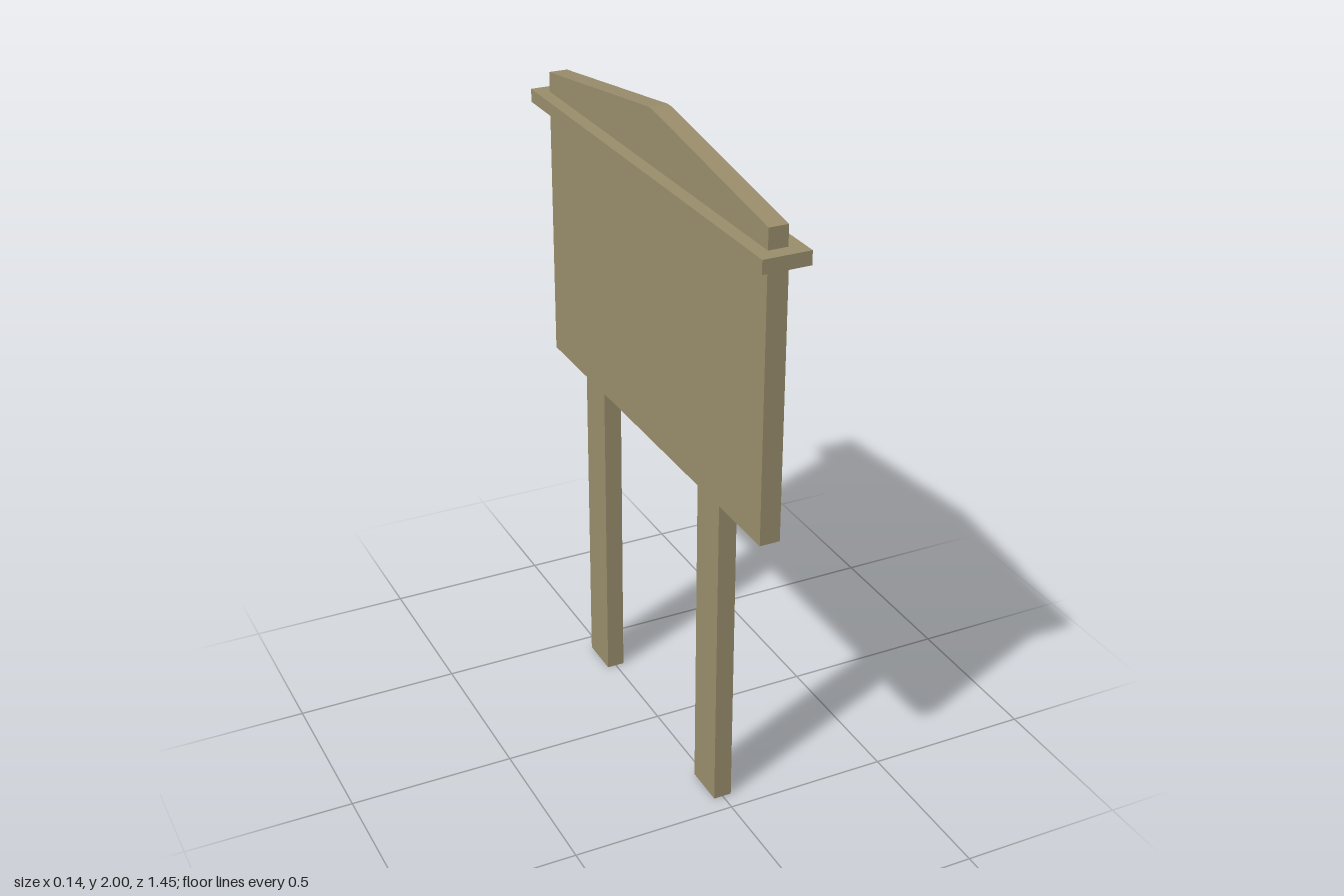
import * as THREE from 'three';

const mat = (color) => new THREE.MeshStandardMaterial({ color });
const wood = mat(0x998d6b);
const caseBlue = mat(0x8f99cc);
const doorBlue = mat(0x828fc8);
const pink = mat(0xcc71c8);
const grey = mat(0xcccccc);

export function createModel() {
  const model = new THREE.Group();
  model.name = 'noticeBoard';

  const add = (name, geometry, material) => {
    const mesh = new THREE.Mesh(geometry, material);
    mesh.name = name;
    model.add(mesh);
  };

  // Box given by its limits along x, y and z
  const box = (name, material, x0, x1, y0, y1, z0, z1) => {
    const g = new THREE.BoxGeometry(x1 - x0, y1 - y0, z1 - z0);
    g.translate((x0 + x1) / 2, (y0 + y1) / 2, (z0 + z1) / 2);
    add(name, g, material);
  };

  // Outline of [z, y] points extruded along x, with an optional hole
  const slab = (name, material, x0, x1, outline, hole) => {
    const points = (list) => list.map(([z, y]) => new THREE.Vector2(-z, y));
    const shape = new THREE.Shape(points(outline));
    if (hole) shape.holes.push(new THREE.Path(points(hole)));
    const g = new THREE.ExtrudeGeometry(shape, { depth: x1 - x0, bevelEnabled: false });
    g.rotateY(Math.PI / 2);
    g.translate(x0, 0, 0);
    add(name, g, material);
  };
  const rect = (z0, z1, y0, y1) => [[z0, y0], [z1, y0], [z1, y1], [z0, y1]];

  // Posts
  for (const side of [-1, 1]) {
    const z = side * 0.378;
    box(side > 0 ? 'leftPost' : 'rightPost', wood, -0.028, 0.027, 0, 1, z - 0.065, z + 0.065);
  }

  // Cabinet: back board, open frame on one half, deep framed door on the other
  box('backBoard', wood, -0.03, 0.009, 1, 1.8, -0.675, 0.68);
  slab('openFrame', wood, 0.009, 0.03, [
    [0.68, 1], [0.08, 1], [0.08, 1.045], [0.64, 1.045],
    [0.64, 1.758], [0.08, 1.758], [0.08, 1.8], [0.68, 1.8],
  ]);
  slab('doorFrame', wood, 0.009, 0.07, rect(0.08, -0.675, 1, 1.8), rect(0.015, -0.61, 1.07, 1.728));

  // Pin boards
  box('openPinBoard', caseBlue, 0.005, 0.011, 1.045, 1.758, 0.08, 0.64);
  box('doorPinBoard', doorBlue, 0.005, 0.03, 1.07, 1.728, -0.61, 0.015);

  // Pinned notices
  box('pinkNotice', pink, 0.03, 0.032, 1.18, 1.5, -0.3, -0.04);
  box('upperNotice', grey, 0.03, 0.032, 1.5, 1.728, -0.61, -0.365);
  box('lowerNotice', grey, 0.03, 0.034, 1.12, 1.288, -0.512, -0.253);

  // Ledge, gable and name plate
  box('ledge', wood, -0.07, 0.07, 1.8, 1.84, -0.723, 0.725);
  slab('gable', wood, -0.03, 0.027, [
    [0.68, 1.84], [-0.675, 1.84], [-0.675, 1.9], [0.005, 2], [0.03, 2], [0.68, 1.9],
  ]);
  box('namePlate', grey, 0.027, 0.038, 1.865, 1.896, -0.198, 0.23);

  return model;
}
